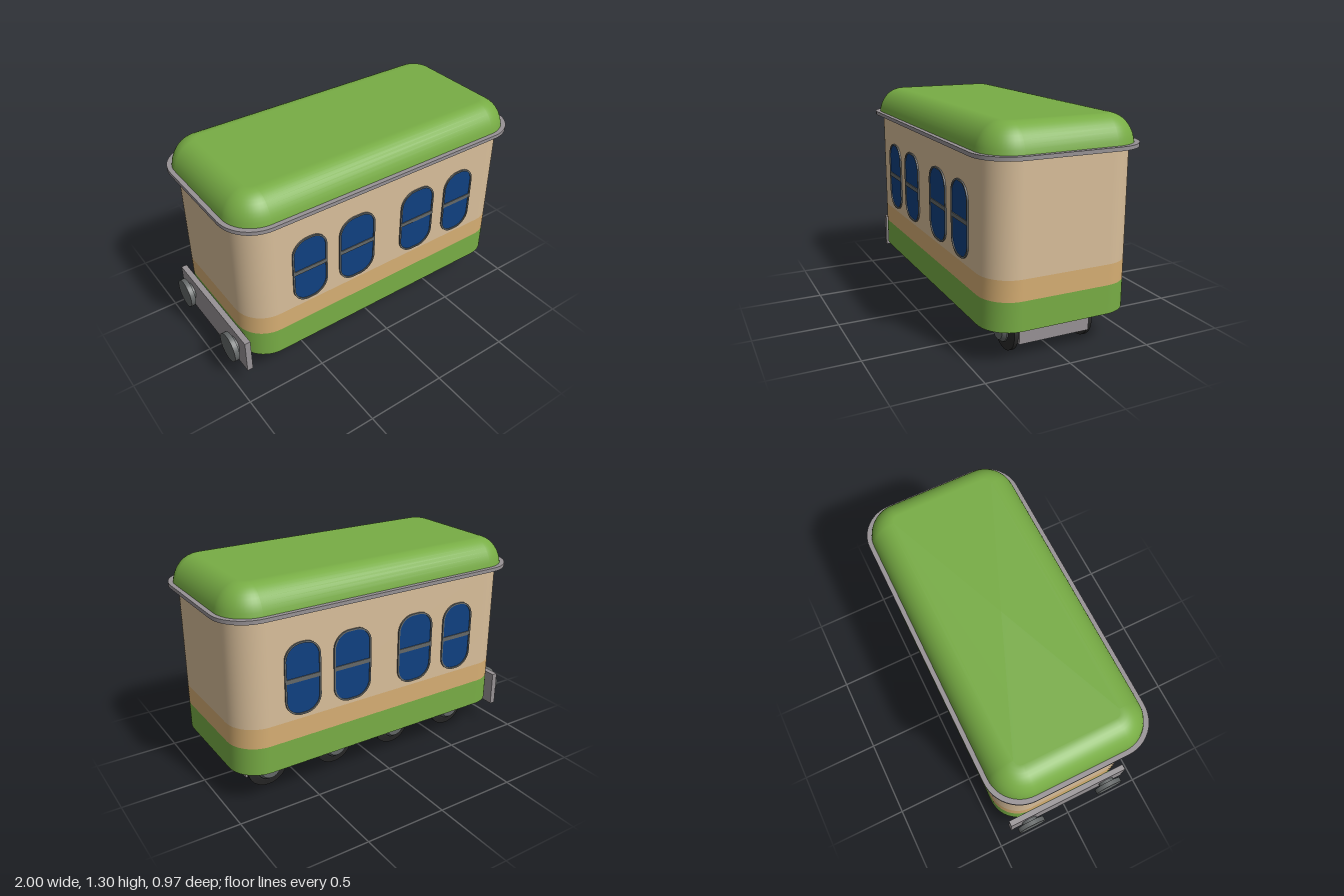
import * as THREE from 'three';

const mat = (name, color) => {
  const m = new THREE.MeshStandardMaterial({ color });
  m.name = name;
  return m;
};

// Points around a rounded rectangle in plan
function roundedRing(hx, hz, r, y, steps = 12) {
  const pts = [];
  const corners = [[1, 1], [-1, 1], [-1, -1], [1, -1]];
  corners.forEach(([sx, sz], q) => {
    for (let i = 0; i <= steps; i++) {
      const a = (q + i / steps) * Math.PI / 2;
      pts.push([sx * (hx - r) + r * Math.cos(a), y, sz * (hz - r) + r * Math.sin(a)]);
    }
  });
  return pts;
}

// Skin through rings [halfX, halfZ, radius, y] listed bottom to top; a repeated ring makes a sharp edge
function loft(rings) {
  const loops = rings.map(r => roundedRing(...r));
  const n = loops[0].length;
  const index = [];
  for (let k = 0; k < loops.length - 1; k++) {
    if (rings[k].every((v, i) => v === rings[k + 1][i])) continue;
    for (let i = 0; i < n; i++) {
      const a = k * n + i, b = k * n + (i + 1) % n;
      index.push(a, a + n, b, b, a + n, b + n);
    }
  }
  const g = new THREE.BufferGeometry();
  g.setAttribute('position', new THREE.Float32BufferAttribute(loops.flat(2), 3));
  g.setIndex(index);
  g.computeVertexNormals();
  return g;
}

// Closed slab with sharp top and bottom edges
function slab(hx, hz, r, y0, y1) {
  const lo = [hx, hz, r, y0], hi = [hx, hz, r, y1];
  return loft([[0, 0, 0, y0], lo, lo, hi, hi, [0, 0, 0, y1]]);
}

// Window outline
function windowPath(w, h, r, PathType = THREE.Shape) {
  const p = new PathType();
  const x = w / 2, y = h / 2;
  p.moveTo(-x + r, -y);
  p.lineTo(x - r, -y);
  p.absarc(x - r, -y + r, r, -Math.PI / 2, 0);
  p.lineTo(x, y - r);
  p.absarc(x - r, y - r, r, 0, Math.PI / 2);
  p.lineTo(-x + r, y);
  p.absarc(-x + r, y - r, r, Math.PI / 2, Math.PI);
  p.lineTo(-x, -y + r);
  p.absarc(-x + r, -y + r, r, Math.PI, Math.PI * 1.5);
  return p;
}

export function createModel() {
  const green = mat('green paint', 0x78ad45);
  const cream = mat('cream paint', 0xd8be9a);
  const tan = mat('tan stripe', 0xd6ae73);
  const grey = mat('grey metal', 0x979295);
  const darkGrey = mat('dark grey metal', 0x646868);
  const black = mat('black wheel', 0x2b2b2b);
  const blue = mat('blue glass', 0x0f4080);

  const model = new THREE.Group();
  model.name = 'railwayCarriage';
  const add = (parent, name, geometry, material, x = 0, y = 0, z = 0) => {
    const m = new THREE.Mesh(geometry, material);
    m.name = name;
    m.position.set(x, y, z);
    parent.add(m);
  };

  // Carriage shell, offset slightly to leave room for the end bumpers
  const body = new THREE.Group();
  body.name = 'body';
  body.position.x = 0.015;
  model.add(body);
  add(body, 'lowerBand', slab(0.93, 0.44, 0.18, 0.212, 0.38), green);
  add(body, 'middleBand', slab(0.93, 0.44, 0.18, 0.38, 0.5), tan);
  add(body, 'upperWall', slab(0.93, 0.44, 0.18, 0.5, 1.13), cream);
  add(body, 'roofRim', slab(0.982, 0.485, 0.21, 1.126, 1.148), grey);

  // Domed roof edge, rising to a flat top
  const roof = [];
  const startSin = Math.sin(0.05 * Math.PI);
  for (let i = 0; i <= 10; i++) {
    const a = (0.1 + 0.9 * i / 10) * Math.PI / 2;
    const inset = 0.15 * (1 - Math.cos(a));
    const y = 1.148 + 0.152 * (Math.sin(a) - startSin) / (1 - startSin);
    roof.push([0.957 - inset, 0.46 - inset, 0.19 - inset, y]);
  }
  roof.push([0, 0, 0, 1.3]);
  add(body, 'roof', loft(roof), green);

  // Four windows on each long side
  for (const turn of [0, Math.PI]) {
    const side = new THREE.Group();
    side.name = turn ? 'backWindows' : 'frontWindows';
    side.rotation.y = turn;
    body.add(side);
    for (const [x, w] of [[-0.541, 0.225], [-0.22, 0.248], [0.22, 0.248], [0.541, 0.225]]) {
      const outline = windowPath(w, 0.434, 0.1);
      const pane = windowPath(w - 0.02, 0.414, 0.09);
      outline.holes.push(windowPath(w - 0.02, 0.414, 0.09, THREE.Path));
      const frame = new THREE.ExtrudeGeometry(outline, { depth: 0.009, bevelEnabled: false, curveSegments: 10 });
      add(side, 'windowFrame', frame, darkGrey, x, 0.742, 0.4395);
      add(side, 'windowPane', new THREE.ShapeGeometry(pane, 10), blue, x, 0.742, 0.443);
      add(side, 'windowBar', new THREE.BoxGeometry(w - 0.015, 0.025, 0.008), darkGrey, x, 0.742, 0.444);
    }
  }

  // Wheel trucks
  const disc = (rOuter, rInner, z0, z1) =>
    new THREE.CylinderGeometry(rOuter, rInner, z1 - z0, 32).rotateX(Math.PI / 2).translate(0, 0, (z0 + z1) / 2);
  for (const [x, w] of [[-0.43, 0.72], [0.467, 0.724]]) {
    add(model, 'truckFrame', new THREE.BoxGeometry(w, 0.14, 0.436), grey, x, 0.147, 0);
    for (const dx of [-0.228, 0.228]) {
      for (const turn of [0, Math.PI]) {
        const wheel = new THREE.Group();
        wheel.name = 'wheel';
        wheel.position.set(x + dx, 0.13, 0);
        wheel.rotation.y = turn;
        model.add(wheel);
        add(wheel, 'flange', disc(0.13, 0.13, 0.221, 0.244), black);
        add(wheel, 'tread', disc(0.088, 0.13, 0.244, 0.257), black);
        add(wheel, 'hub', disc(0.078, 0.078, 0.25, 0.265), darkGrey);
        add(wheel, 'hubCap', disc(0.062, 0.078, 0.265, 0.286), darkGrey);
      }
    }
  }

  // End beam with two round bumpers
  add(model, 'endBeam', new THREE.BoxGeometry(0.035, 0.215, 0.81), grey, -0.932, 0.252, 0);
  for (const z of [-0.278, 0.278]) {
    add(model, 'bumperStem', new THREE.CylinderGeometry(0.05, 0.05, 0.04, 24).rotateZ(Math.PI / 2), darkGrey, -0.958, 0.255, z);
    add(model, 'bumperHead', new THREE.CylinderGeometry(0.09, 0.09, 0.03, 32).rotateZ(Math.PI / 2), darkGrey, -0.985, 0.255, z);
  }
  return model;
}
